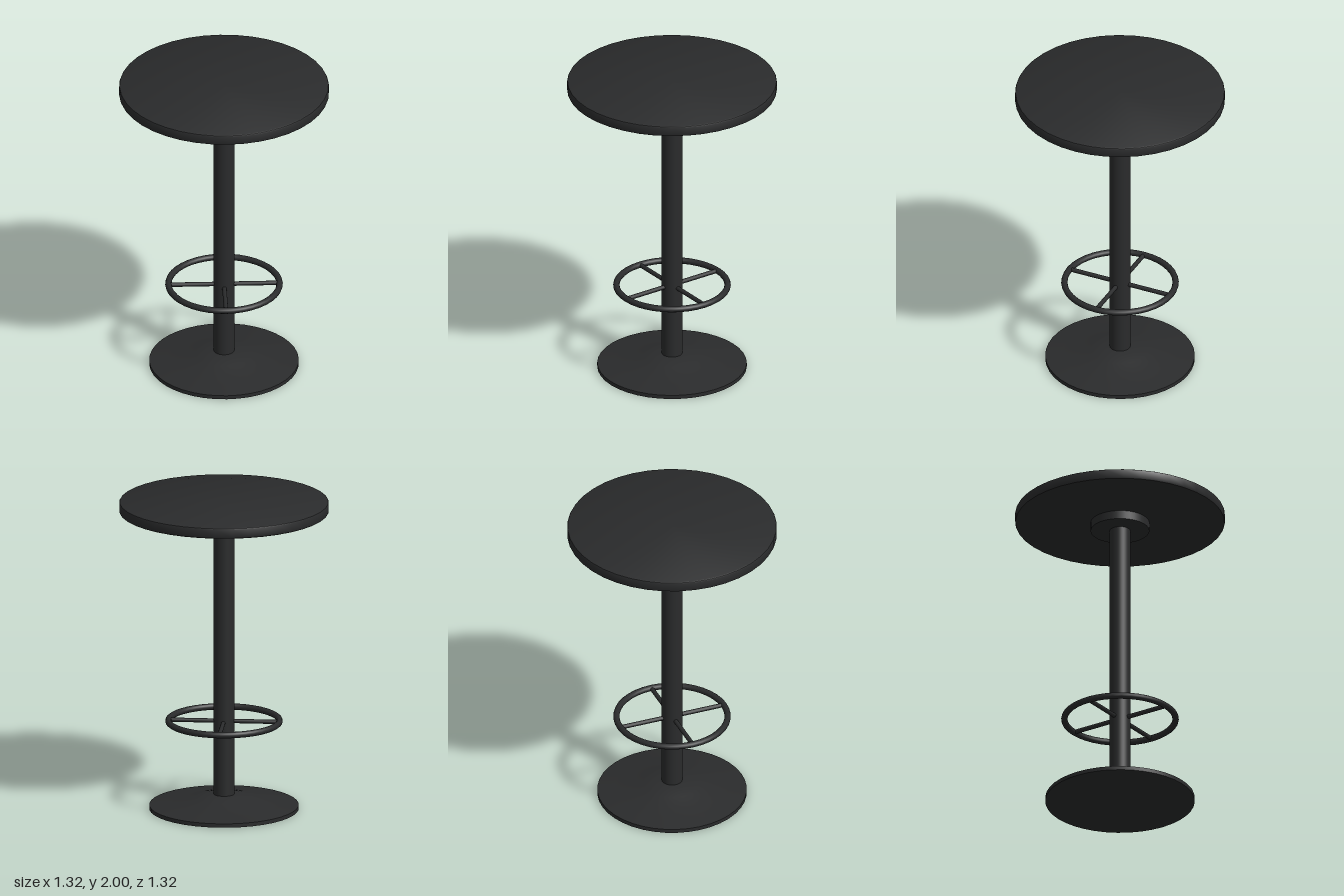
import * as THREE from 'three';
import { toCreasedNormals } from 'three/addons/utils/BufferGeometryUtils.js';

const SIDES = 40;

export function createModel() {
  const model = new THREE.Group();
  model.name = 'barTable';
  const material = new THREE.MeshStandardMaterial({ color: 0x2a2b2c });

  const add = (name, geometry, parent = model) => {
    const mesh = new THREE.Mesh(geometry, material);
    mesh.name = name;
    parent.add(mesh);
    return mesh;
  };

  // Turned solid: profile of [radius, height] from the bottom centre to the top centre
  const turned = (name, profile) => {
    const points = profile.map(([r, y]) => new THREE.Vector2(r, y));
    return add(name, toCreasedNormals(new THREE.LatheGeometry(points, SIDES), 0.6));
  };

  // Flared floor plate
  turned('base', [
    [0, 0], [0.47, 0], [0.47, 0.025], [0.36, 0.042], [0.26, 0.058],
    [0.18, 0.077], [0.11, 0.095], [0, 0.095],
  ]);

  // Central column
  const column = add('column', new THREE.CylinderGeometry(0.065, 0.065, 1.8, SIDES));
  column.position.y = 0.99;

  // Mounting plate under the top
  const plate = add('mountingPlate', new THREE.CylinderGeometry(0.185, 0.185, 0.06, SIDES));
  plate.position.y = 1.905;

  // Round top with slightly eased edges
  turned('tableTop', [
    [0, 1.93], [0.65, 1.93], [0.657, 1.934], [0.66, 1.941],
    [0.66, 1.989], [0.657, 1.996], [0.65, 2], [0, 2],
  ]);

  // Foot ring with two crossing rods on the diagonals
  const footrest = new THREE.Group();
  footrest.name = 'footrest';
  footrest.position.y = 0.57;
  model.add(footrest);
  add('footRing', new THREE.TorusGeometry(0.35, 0.02, 10, SIDES).rotateX(Math.PI / 2), footrest);
  for (const side of [1, -1]) {
    const rod = new THREE.CylinderGeometry(0.014, 0.014, 0.7, 12);
    rod.rotateZ(Math.PI / 2).rotateY((side * Math.PI) / 4);
    add('footRingRod', rod, footrest);
  }

  return model;
}
